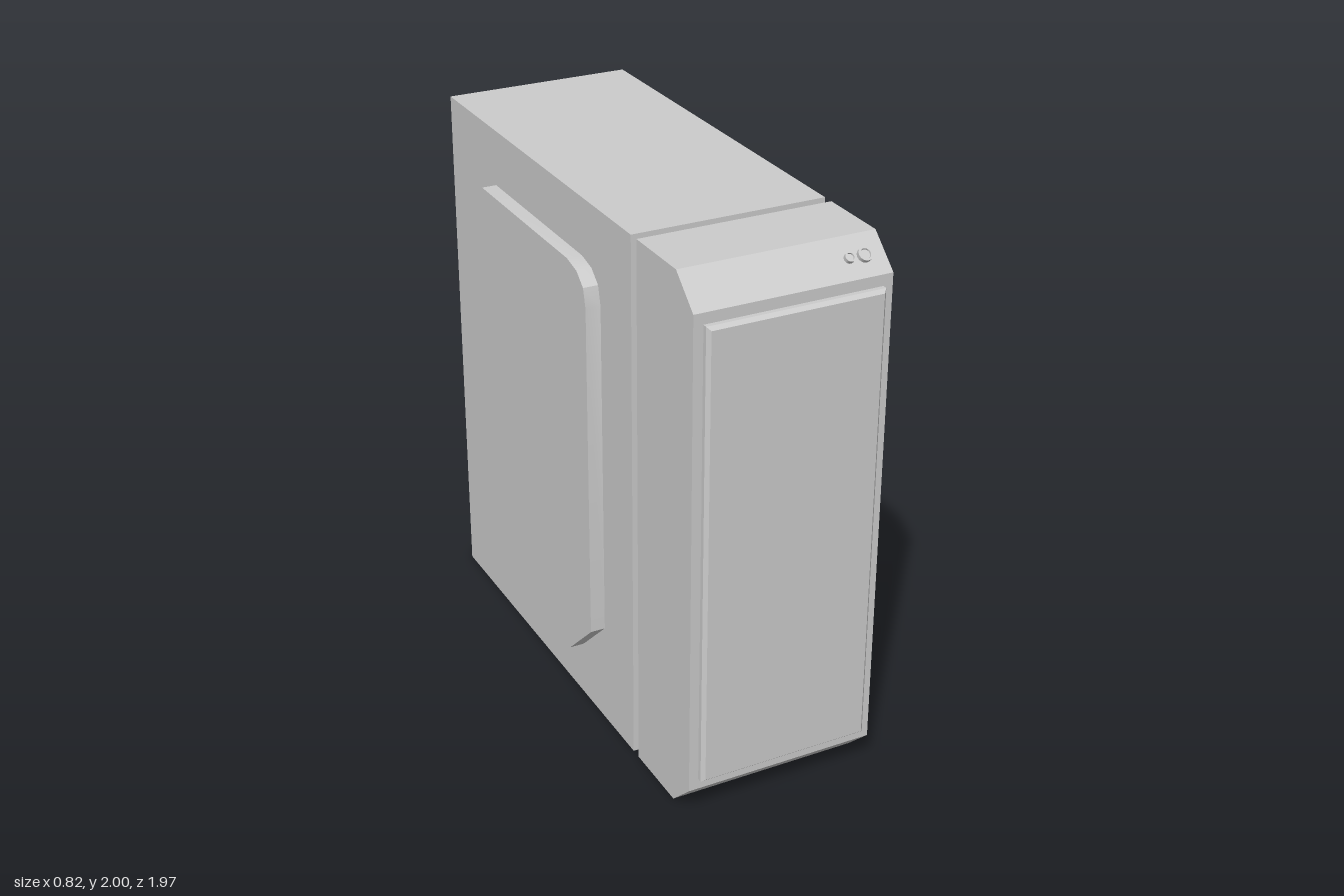
import * as THREE from 'three';
import { toCreasedNormals } from 'three/addons/utils/BufferGeometryUtils.js';

const W = 0.357, BACK = -0.985, FRONT = 0.955, H = 2;
const GROOVE = [0.53, 0.57], INNER = 0.332, CREASE = 0.6;
const material = new THREE.MeshStandardMaterial({ color: 0xcccccc, side: THREE.DoubleSide });

function add(parent, name, geometry) {
  const mesh = new THREE.Mesh(geometry, material);
  mesh.name = name;
  parent.add(mesh);
  return mesh;
}

// Skin joining successive loops of [x, y, z] points
function loft(loops, closed = true) {
  const pos = [];
  for (let k = 0; k < loops.length - 1; k++) {
    const A = loops[k], B = loops[k + 1], n = A.length;
    for (let i = 0; i < (closed ? n : n - 1); i++) {
      const j = (i + 1) % n;
      pos.push(...A[i], ...A[j], ...B[j], ...A[i], ...B[j], ...B[i]);
    }
  }
  const g = new THREE.BufferGeometry();
  g.setAttribute('position', new THREE.Float32BufferAttribute(pos, 3));
  return toCreasedNormals(g, CREASE);
}

// Flat sheet with an optional hole
function sheet(points, hole) {
  const toV = (p) => new THREE.Vector2(p[0], p[1]);
  const shape = new THREE.Shape(points.map(toV));
  if (hole) shape.holes.push(new THREE.Path(hole.map(toV)));
  return new THREE.ShapeGeometry(shape);
}

const rect = (x0, y0, x1, y1) => [[x0, y0], [x1, y0], [x1, y1], [x0, y1]];
const at = (points, z) => points.map(([x, y]) => [x, y, z]);

// Strip across the full width following a [z, y] path
const band = (path) => loft([
  path.map(([z, y]) => [-W, y, z]),
  path.map(([z, y]) => [W, y, z]),
], false);

// Side panel outline in [z, y]: two cut corners, two rounded ones
const panelOutline = [
  [0.3, 0.39], [0.115, 0.215], [-0.6, 0.215], [-0.69, 0.236], [-0.737, 0.285], [-0.755, 0.35],
  [-0.755, 1.62], [-0.57, 1.79], [0.16, 1.79], [0.233, 1.773], [0.283, 1.73], [0.3, 1.66],
];
const frontOutline = [
  [0.57, 0], [0.84, 0], [FRONT, 0.11], [FRONT, 1.895], [0.84, H], [0.57, H],
];

function buildSide(s) {
  const side = new THREE.Group();
  side.name = s > 0 ? 'leftSide' : 'rightSide';
  side.rotation.y = s * Math.PI / 2;
  side.position.x = s * W;
  const map = (pts) => {
    const out = pts.map(([z, y]) => [-s * z, y]);
    return s > 0 ? out.reverse() : out;
  };
  // counter-clockwise outline for outward facing rims
  let outline = map(panelOutline);
  const area = THREE.ShapeUtils.area(outline.map(([x, y]) => ({ x, y })));
  if (area < 0) outline = outline.reverse();

  add(side, 'rearSideWall', sheet(map(rect(BACK, 0, GROOVE[0], H)), outline));
  add(side, 'frontSideWall', sheet(map(frontOutline)));
  add(side, 'sidePanelRim', loft([at(outline, 0), at(outline, 0.055)]));
  add(side, 'sidePanelFace', sheet(outline)).position.z = 0.055;
  return side;
}

// Dished round button
function buttonGeometry(r) {
  const profile = [[r, -0.004], [r, 0.015], [r * 0.72, 0.015], [r * 0.68, 0.009], [0, 0.009]];
  const g = new THREE.LatheGeometry(profile.map(([x, y]) => new THREE.Vector2(x, y)), 24);
  return toCreasedNormals(g, CREASE);
}

export function createModel() {
  const model = new THREE.Group();
  model.name = 'computerCase';

  model.add(buildSide(1), buildSide(-1));

  // Rear casing, left open underneath
  add(model, 'topCover', band([[GROOVE[0], H], [BACK, H]]));
  add(model, 'backWall', band([[BACK, H], [BACK, 0]]));

  // Groove between casing and front section
  const outer = rect(-W, 0, W, H);
  const inner = rect(-INNER, 0.028, INNER, H - 0.028);
  add(model, 'grooveChannel', loft([at(inner, GROOVE[0]), at(inner, GROOVE[1])]));
  add(model, 'grooveRearLip', sheet(outer, inner)).position.z = GROOVE[0];
  const lip = add(model, 'grooveFrontLip', sheet(outer, inner));
  lip.rotation.y = Math.PI;
  lip.position.z = GROOVE[1];

  // Front section with slanted top and bottom edges
  add(model, 'frontTop', band([[FRONT, 1.895], [0.84, H], [0.57, H]]));
  add(model, 'frontBottomSlant', band([[0.84, 0], [FRONT, 0.11]]));
  const panel = rect(-0.322, 0.15, 0.322, 1.855);
  const panelTop = rect(-0.31, 0.162, 0.31, 1.843);
  add(model, 'frontFace', sheet(rect(-W, 0.11, W, 1.895), panel)).position.z = FRONT;
  add(model, 'frontPanelRim', loft([at(panel, FRONT), at(panel, 0.972), at(panelTop, 0.985)]));
  add(model, 'frontPanelFace', sheet(panelTop)).position.z = 0.985;

  // Buttons on the top slant
  for (const [name, x, r] of [['powerButton', 0.28, 0.025], ['resetButton', 0.224, 0.018]]) {
    const button = add(model, name, buttonGeometry(r));
    button.position.set(x, 1.946, 0.899);
    button.rotation.x = Math.atan2(0.105, 0.115);
  }
  return model;
}
